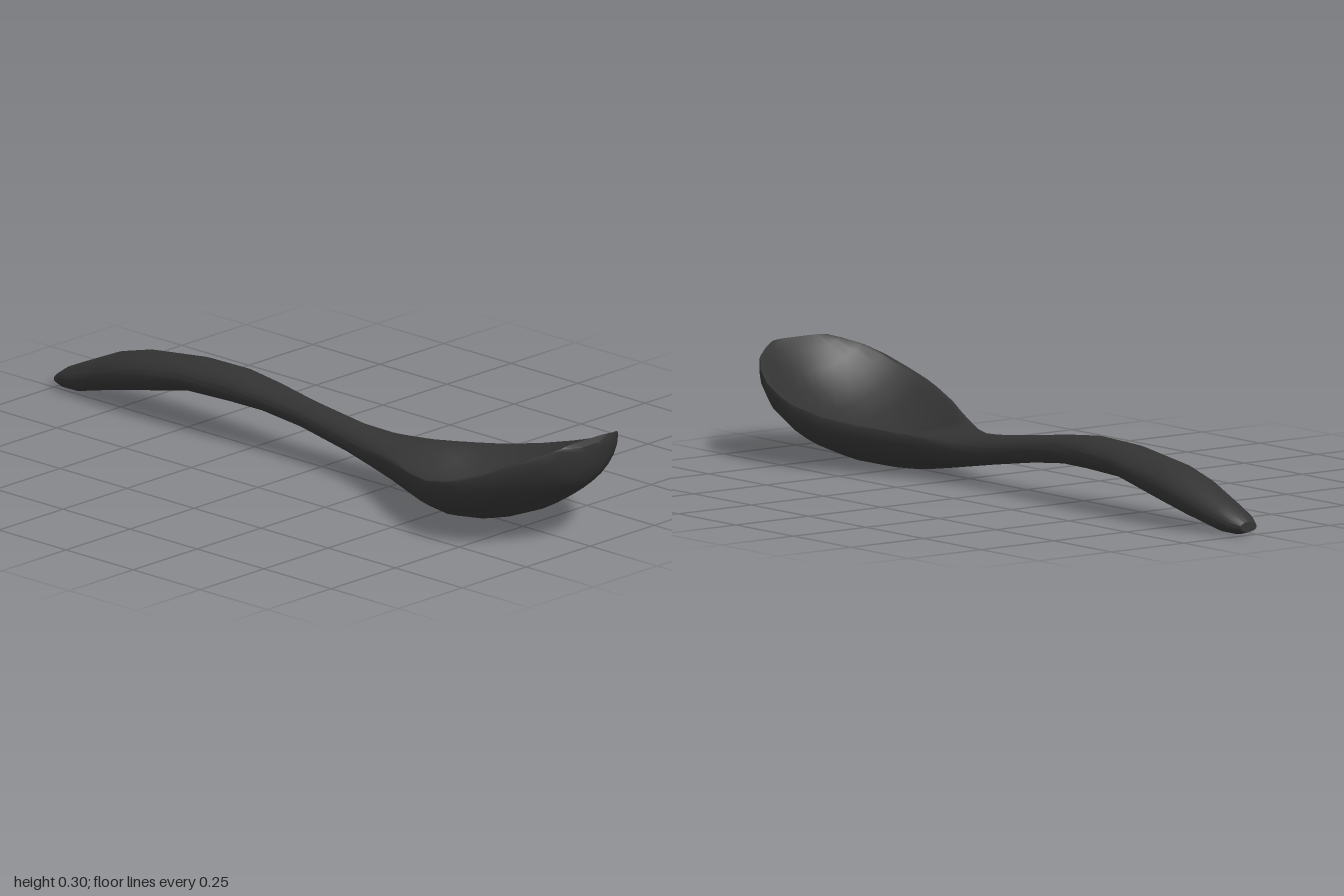
import * as THREE from 'three';
import { toCreasedNormals } from 'three/addons/utils/BufferGeometryUtils.js';

// Cross-sections along the spoon: x, zMin, zMax, yBottom, yTop, dish depth
const STATIONS = [
  [-1.0, -0.055, 0.0, 0.012, 0.04, 0],
  [-0.97, -0.078, 0.014, 0.003, 0.062, 0],
  [-0.92, -0.09, 0.023, 0.004, 0.085, 0],
  [-0.8, -0.115, 0.032, 0.033, 0.138, 0],
  [-0.7, -0.118, 0.037, 0.055, 0.165, 0],
  [-0.5, -0.112, 0.038, 0.1, 0.19, 0],
  [-0.34, -0.102, 0.033, 0.105, 0.195, 0],
  [-0.22, -0.09, 0.024, 0.105, 0.183, 0],
  [-0.08, -0.076, 0.016, 0.09, 0.165, 0],
  [0.1, -0.08, 0.028, 0.062, 0.143, 0],
  [0.2, -0.095, 0.05, 0.045, 0.135, 0],
  [0.3, -0.117, 0.082, 0.028, 0.133, 0],
  [0.38, -0.145, 0.118, 0.015, 0.134, 0.005],
  [0.43, -0.165, 0.143, 0.009, 0.136, 0.04],
  [0.5, -0.195, 0.178, 0.005, 0.14, 0.07],
  [0.6, -0.237, 0.225, 0.008, 0.155, 0.095],
  [0.7, -0.259, 0.25, 0.025, 0.18, 0.105],
  [0.75, -0.258, 0.253, 0.04, 0.196, 0.105],
  [0.82, -0.247, 0.241, 0.068, 0.222, 0.1],
  [0.88, -0.222, 0.214, 0.105, 0.251, 0.088],
  [0.93, -0.183, 0.178, 0.14, 0.276, 0.065],
  [0.965, -0.135, 0.135, 0.167, 0.293, 0.03],
  [0.985, -0.098, 0.1, 0.19, 0.302, 0],
  [1.0, -0.045, 0.045, 0.238, 0.29, 0],
];

const HALF = [1, 0.985, 0.95, 0.92, 0.8, 0.62, 0.42, 0.2];
const TOP = [...HALF, 0, ...HALF.map((u) => -u).reverse()];
const BOTTOM_STEPS = 14;

// One closed ring: over the hollowed top, then back along the round underside
function ring([x, z0, z1, yb, yt, depth]) {
  const c = (z0 + z1) / 2, h = (z1 - z0) / 2;
  const bowl = Math.min(1, depth / 0.08);
  const flare = THREE.MathUtils.smoothstep(x, 0.1, 0.45);
  const ye = yb + (yt - yb) * (0.5 + 0.4 * flare);
  const p = 2 + 4 * Math.max(bowl, 0.5 * flare);
  const pts = TOP.map((u) => {
    const a = Math.abs(u);
    const lip = ye + (yt - ye) * Math.pow(1 - Math.pow(a, p), 1 / p);
    const hollow = depth * Math.max(0, 1 - (a / 0.94) ** 2);
    return [x, lip - hollow, c + h * u];
  });
  for (let k = 1; k < BOTTOM_STEPS; k++) {
    const t = (Math.PI * k) / BOTTOM_STEPS;
    pts.push([x, ye - (ye - yb) * Math.sin(t), c - h * Math.cos(t)]);
  }
  return pts;
}

// Skin the rings and close both ends
function loft(rings) {
  const n = rings[0].length, last = (rings.length - 1) * n;
  const pos = rings.flat(2), idx = [];
  for (let i = 0; i < rings.length - 1; i++) {
    for (let j = 0; j < n; j++) {
      const a = i * n + j, c = i * n + ((j + 1) % n);
      idx.push(a, a + n, c, a + n, c + n, c);
    }
  }
  for (const r of [rings[0], rings[rings.length - 1]]) {
    for (let k = 0; k < 3; k++) pos.push(r.reduce((s, q) => s + q[k], 0) / n);
  }
  const start = rings.length * n;
  for (let j = 0; j < n; j++) {
    const k = (j + 1) % n;
    idx.push(start, j, k, start + 1, last + k, last + j);
  }
  const g = new THREE.BufferGeometry();
  g.setAttribute('position', new THREE.Float32BufferAttribute(pos, 3));
  g.setIndex(idx);
  return toCreasedNormals(g, 0.75);
}

export function createModel() {
  const group = new THREE.Group();
  group.name = 'spoon';
  // Handle and bowl are one continuous moulded piece
  const spoon = new THREE.Mesh(
    loft(STATIONS.map(ring)),
    new THREE.MeshStandardMaterial({ color: 0x333333 })
  );
  spoon.name = 'handleAndBowl';
  group.add(spoon);
  return group;
}
